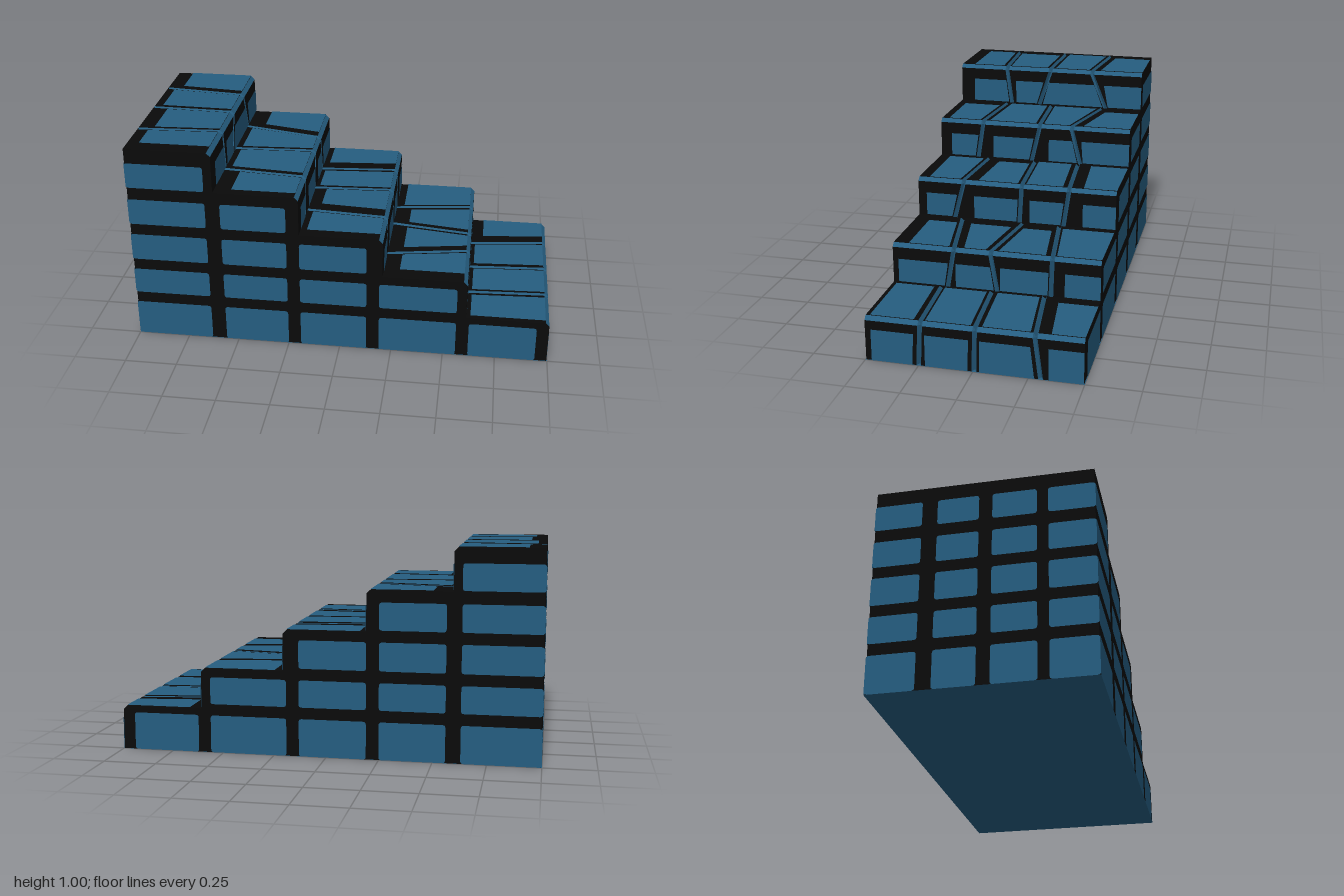
import * as THREE from 'three';

// Step data, from the top step down
const NOSE = [-0.59, -0.19, 0.205, 0.605, 0.997];
const TOP = [0.997, 0.797, 0.602, 0.407, 0.212];
const WALL = 0.497, LIFT = 0.003, BEVEL = 0.018, GROOVE = 0.02;

// Joints between stones: z at riser foot, nose and back of tread
const JOINTS = [
  [[0.214, 0.24, 0.26], [0.06, 0.0, -0.01], [-0.305, -0.23, -0.27]],
  [[0.297, 0.27, 0.235], [0.01, -0.03, -0.01], [-0.245, -0.2, -0.29]],
  [[0.31, 0.265, 0.235], [-0.02, -0.03, -0.01], [-0.24, -0.265, -0.235]],
  [[0.23, 0.2, 0.27], [-0.01, 0.02, -0.04], [-0.265, -0.27, -0.22]],
  [[0.25, 0.24, 0.26], [-0.005, -0.01, 0.015], [-0.305, -0.28, -0.235]],
];
// Left edge (z) of the painted face on each riser stone
const RISER_LEFT = [
  [0.425, 0.19, 0.04, -0.295], [0.44, 0.215, -0.08, -0.25], [0.455, 0.21, -0.07, -0.335],
  [0.47, 0.19, -0.025, -0.33], [0.47, 0.22, -0.03, -0.34],
];
// Dark margins of each tread stone: back, +z side, -z side
const TREAD_MARGIN = [
  [[0.055, 0.07, 0.01], [0.075, 0.01, 0.01], [0.04, 0.015, 0.01], [0.075, 0.03, 0]],
  [[0.08, 0.04, 0.01], [0.03, 0.02, 0.01], [0.03, 0.01, 0.01], [0.09, 0.04, 0]],
  [[0.03, 0.055, 0.01], [0.06, 0.06, 0.01], [0.02, 0.01, 0.02], [0.03, 0.06, 0]],
  [[0.075, 0.075, 0.01], [0.075, 0.04, 0.02], [0.08, 0.02, 0.02], [0.04, 0.01, 0]],
  [[0.02, 0.02, 0.02], [0.02, 0.01, 0.01], [0.02, 0.02, 0.01], [0.06, 0.06, 0]],
];

// Geometry from a list of four-cornered faces
function quads(faces) {
  const p = [];
  for (const [a, b, c, d] of faces) p.push(...a, ...b, ...c, ...a, ...c, ...d);
  const g = new THREE.BufferGeometry();
  g.setAttribute('position', new THREE.Float32BufferAttribute(p, 3));
  g.computeVertexNormals();
  return g;
}

// Flat rectangle with rounded corners
function roundedPanel(x0, x1, y0, y1, r = 0.014) {
  const s = new THREE.Shape();
  s.moveTo(x0 + r, y0).lineTo(x1 - r, y0).quadraticCurveTo(x1, y0, x1, y0 + r);
  s.lineTo(x1, y1 - r).quadraticCurveTo(x1, y1, x1 - r, y1);
  s.lineTo(x0 + r, y1).quadraticCurveTo(x0, y1, x0, y1 - r);
  s.lineTo(x0, y0 + r).quadraticCurveTo(x0, y0, x0 + r, y0);
  return new THREE.ShapeGeometry(s, 4);
}

// Stair outline seen from the front, optionally shrunk and bevelled
function stairShape(recess, bevel) {
  const s = new THREE.Shape();
  s.moveTo(-WALL * 2, 0).lineTo(-0.997, TOP[0] - recess);
  NOSE.forEach((n, i) => {
    s.lineTo(n - recess - bevel, TOP[i] - recess);
    if (bevel) s.lineTo(n - recess, TOP[i] - recess - bevel);
    s.lineTo(n - recess, i < 4 ? TOP[i + 1] - recess : 0);
  });
  return s;
}

export function createModel() {
  const side = THREE.DoubleSide;
  const blue = new THREE.MeshStandardMaterial({ color: 0x255d80, side });
  const black = new THREE.MeshStandardMaterial({ color: 0x0a0a0a, side });
  blue.name = 'stoneBlue';
  black.name = 'mortarBlack';
  const root = new THREE.Group();
  root.name = 'stoneStairs';
  const add = (parent, name, geo, mat) => {
    const m = new THREE.Mesh(geo, mat);
    m.name = name;
    parent.add(m);
    return m;
  };

  // Solid core under the stones
  const core = new THREE.ExtrudeGeometry(stairShape(GROOVE + 0.002, 0), { depth: 0.99, bevelEnabled: false });
  add(root, 'core', core.translate(0, 0.002, -0.495), black);

  // Mortar walls on front, back and the tall end
  for (const z of [WALL, -WALL]) {
    add(root, z > 0 ? 'frontMortar' : 'backMortar', new THREE.ShapeGeometry(stairShape(0, BEVEL)), black).position.z = z;
  }
  add(root, 'endMortar', new THREE.PlaneGeometry(WALL * 2, TOP[0]).rotateY(-Math.PI / 2).translate(-0.997, TOP[0] / 2, 0), black);
  add(root, 'base', new THREE.PlaneGeometry(2, 1).rotateX(Math.PI / 2), blue);

  // Brick faces on the walls
  const rows = [[0, 0.18], [0.235, 0.365], [0.42, 0.555], [0.61, 0.74], [0.8, 0.925]];
  const columns = [[-1, -0.63], [-0.56, -0.25], [-0.19, 0.13], [0.19, 0.56], [0.62, 0.94]];
  const endColumns = [[-0.5, -0.28], [-0.21, -0.02], [0.04, 0.24], [0.29, 0.5]];
  const bricks = new THREE.Group();
  bricks.name = 'wallBricks';
  root.add(bricks);
  rows.forEach(([y0, y1], r) => {
    columns.forEach(([x0, x1], c) => {
      if (c + r > 4) return;
      // Bricks with another one above run wider than the nose brick
      const right = c + r < 4 && c < 4 ? Math.max(x1, [-0.63, -0.25, 0.13, 0.56][c]) : x1;
      add(bricks, 'frontBrick', roundedPanel(x0, right, y0, y1), blue).position.z = 0.5;
      add(bricks, 'backBrick', roundedPanel(-right, -x0, y0, y1).rotateY(Math.PI), blue).position.z = -0.5;
    });
    for (const [z0, z1] of endColumns) {
      add(bricks, 'endBrick', roundedPanel(z0, z1, y0, y1).rotateY(-Math.PI / 2), blue).position.x = -1;
    }
  });

  // Irregular stones: riser, bevelled nose and tread
  for (let i = 0; i < 5; i++) {
    const step = new THREE.Group();
    step.name = 'step' + (i + 1);
    root.add(step);
    const n = NOSE[i], t = TOP[i];
    const foot = i < 4 ? TOP[i + 1] : 0;
    const back = i ? NOSE[i - 1] : -0.997;
    const edges = [[WALL, WALL, WALL], ...JOINTS[i], [-WALL, -WALL, -WALL]];
    const outer = [[n, foot], [n, t - BEVEL], [n - BEVEL, t], [back, t]];
    const inner = [
      [n - GROOVE, Math.max(0, foot - GROOVE)], [n - GROOVE, t - GROOVE],
      [n - GROOVE, t - GROOVE], [back - (i ? GROOVE : 0), t - GROOVE],
    ];
    const zi = [0, 1, 1, 2];

    for (let k = 0; k < 4; k++) {
      const a = edges[k], b = edges[k + 1];
      const gapA = k ? 0.011 : 0, gapB = k < 3 ? 0.011 : 0;
      const near = outer.map(([x, y], j) => [x, y, a[zi[j]] - gapA]);
      const far = outer.map(([x, y], j) => [x, y, b[zi[j]] + gapB]);
      const nearIn = inner.map(([x, y], j) => [x, y, a[zi[j]]]);
      const farIn = inner.map(([x, y], j) => [x, y, b[zi[j]]]);
      const strip = j => [near[j], far[j], far[j + 1], near[j + 1]];
      const slopes = [strip(1)];
      for (let j = 0; j < 3; j++) {
        if (k) slopes.push([nearIn[j], near[j], near[j + 1], nearIn[j + 1]]);
        if (k < 3) slopes.push([far[j], farIn[j], farIn[j + 1], far[j + 1]]);
      }
      add(step, 'stoneBody', quads([strip(0), strip(2)]), black);
      add(step, 'stoneBevels', quads(slopes), blue);

      // Painted riser face, its right edge following the joint
      const y0 = foot + (i < 4 ? 0.005 : 0), y1 = t - (i < 4 ? 0.075 : 0.06);
      const lerp = (e, y) => e[0] + (e[1] - e[0]) * (y - foot) / (t - foot);
      const left = y => Math.min(RISER_LEFT[i][k], lerp(a, y) - 0.015);
      const right = y => lerp(b, y) + (k < 3 ? (i < 4 ? 0.015 : 0.028) : 0);
      const rx = n + LIFT;
      add(step, 'riserFace', quads([[
        [rx, y0, left(y0)], [rx, y0, right(y0)], [rx, y1, right(y1)], [rx, y1, left(y1)],
      ]]), blue);

      // Painted tread face between the two joints
      const [mb, mn, mf] = TREAD_MARGIN[i][k];
      const x0 = back + mb, x1 = n - BEVEL;
      const along = (e, x) => e[2] + (e[1] - e[2]) * (x - back) / (n - back);
      const zn = x => along(a, x) - mn - gapA, zf = x => along(b, x) + mf + gapB;
      const ty = t + LIFT;
      add(step, 'treadFace', quads([[
        [x0, ty, zn(x0)], [x1, ty, zn(x1)], [x1, ty, zf(x1)], [x0, ty, zf(x0)],
      ]]), blue);
    }
  }
  return root;
}
